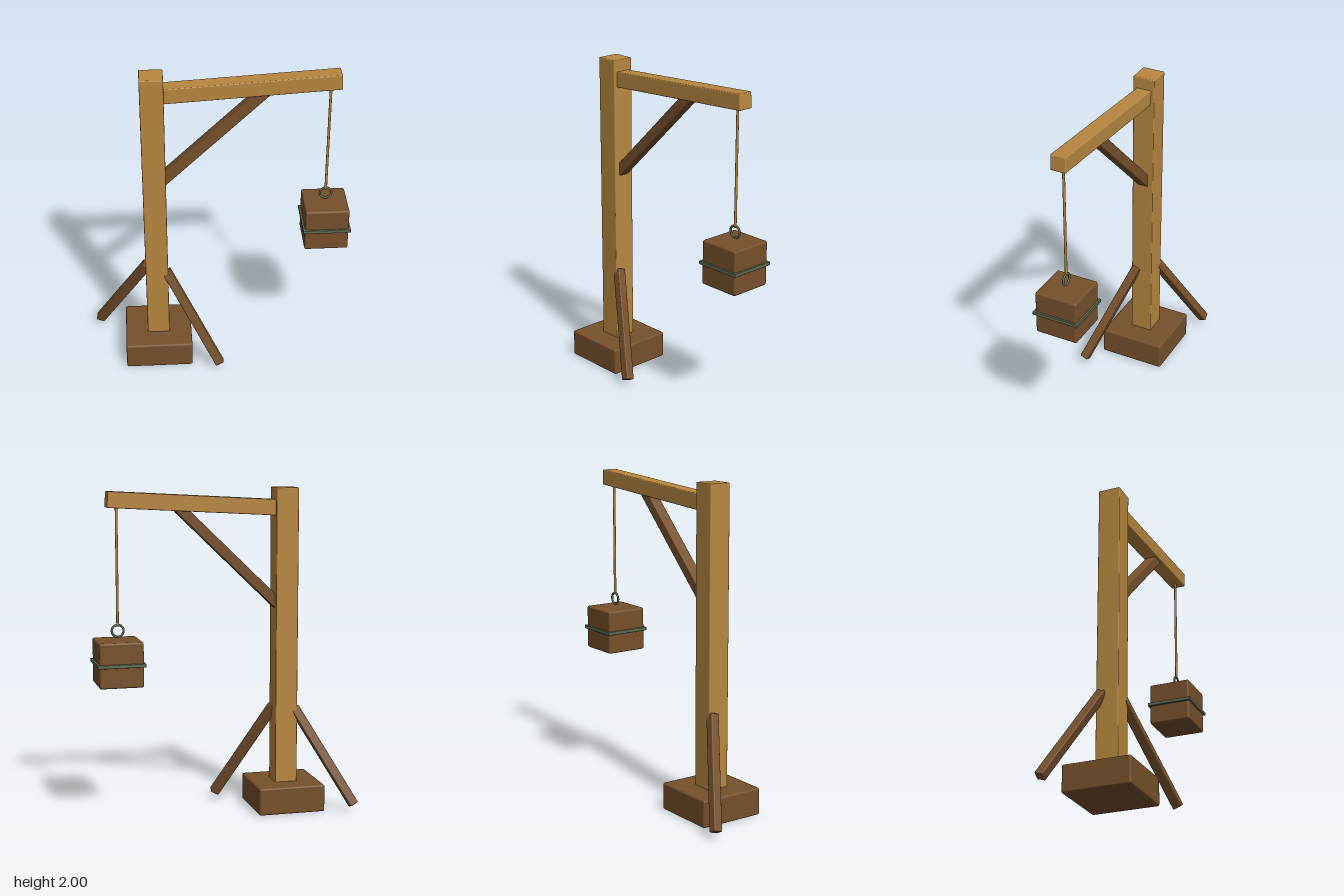
import * as THREE from 'three';
import { RoundedBoxGeometry } from 'three/addons/geometries/RoundedBoxGeometry.js';

export function createModel() {
  const model = new THREE.Group();
  model.name = 'hoistCrane';

  const material = (name, color) => {
    const m = new THREE.MeshStandardMaterial({ color });
    m.name = name;
    return m;
  };
  const lightWood = material('lightWood', 0xb88740);
  const darkWood = material('darkWood', 0x76502b);
  const metal = material('greenishMetal', 0x5f6b4b);

  const add = (name, geometry, mat, x, y, z) => {
    const mesh = new THREE.Mesh(geometry, mat);
    mesh.name = name;
    mesh.position.set(x, y, z);
    model.add(mesh);
    return mesh;
  };
  const block = (w, h, d, bevel) => new RoundedBoxGeometry(w, h, d, 2, bevel);

  // Square timber running between two points
  const timber = (name, from, to, thickness, depth, mat) => {
    const a = new THREE.Vector3(...from);
    const b = new THREE.Vector3(...to);
    const dir = b.clone().sub(a);
    const mid = a.add(b).multiplyScalar(0.5);
    const mesh = add(name, block(thickness, dir.length(), depth, 0.006), mat, mid.x, mid.y, mid.z);
    mesh.quaternion.setFromUnitVectors(new THREE.Vector3(0, 1, 0), dir.normalize());
    return mesh;
  };

  // Foot block and upright post
  const postX = -0.395;
  add('base', block(0.42, 0.17, 0.42, 0.012), darkWood, postX, 0.085, 0);
  add('post', block(0.14, 1.98, 0.14, 0.006), lightWood, postX, 1.01, 0);

  // Slightly rising arm with its diagonal brace
  timber('arm', [-0.39, 1.876, 0], [0.708, 1.94, 0], 0.096, 0.096, lightWood);
  timber('brace', [-0.35, 1.286, 0], [0.27, 1.884, 0], 0.064, 0.07, darkWood);

  // Two stays on opposite corners of the post
  for (const side of [-1, 1]) {
    timber(side > 0 ? 'leftStay' : 'rightStay',
      [postX + side * 0.383, 0.045, side * 0.255],
      [postX + side * 0.058, 0.635, side * 0.037],
      0.055, 0.055, darkWood);
  }

  // Rope, ring and hanging weight with a metal band
  const loadX = 0.648;
  add('rope', new THREE.CylinderGeometry(0.008, 0.008, 0.73, 10), lightWood, loadX, 1.545, 0);
  add('ring', new THREE.TorusGeometry(0.036, 0.007, 8, 24), metal, loadX, 1.154, 0);
  add('weight', block(0.268, 0.275, 0.268, 0.012), darkWood, loadX, 0.962, 0);
  add('band', block(0.292, 0.022, 0.292, 0.003), metal, loadX, 0.96, 0);

  return model;
}
